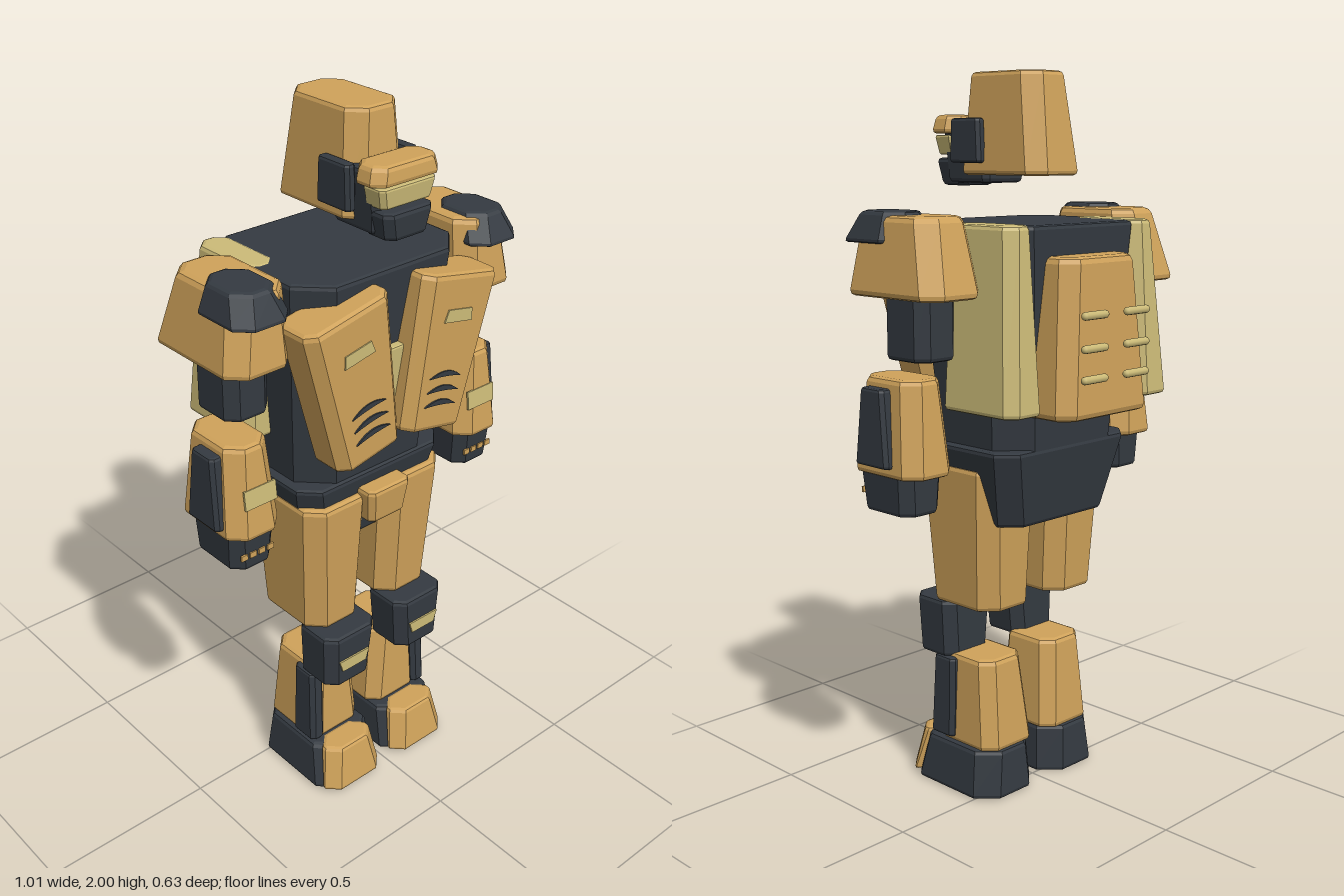
import * as THREE from 'three';

const tan = new THREE.MeshStandardMaterial({ color: 0xcfa25a });
tan.name = 'tan armour';
const dark = new THREE.MeshStandardMaterial({ color: 0x343a41 });
dark.name = 'charcoal';
const pale = new THREE.MeshStandardMaterial({ color: 0xccbb78 });
pale.name = 'pale gold';

// Tapered block with cut corners (c) and softened rims (b).
// lo and hi are [xMin, xMax, zMin, zMax] at heights y0 and y1.
function block(name, mat, lo, y0, hi, y1, c = 0.03, b = 0.012) {
  const steps = [[0, b], [0.3 * b, 0.3 * b], [b, 0]];
  const levels = [
    ...steps.map(([h, inset]) => [h / (y1 - y0), inset]),
    ...steps.slice().reverse().map(([h, inset]) => [1 - h / (y1 - y0), inset]),
  ];
  const rings = levels.map(([t, inset]) => {
    const [xa, xb, za, zb] = lo.map((v, i) => v + (hi[i] - v) * t + (i % 2 ? -inset : inset));
    const y = y0 + (y1 - y0) * t;
    const k = Math.max(c - inset * 0.5, 0.003);
    return [
      [xa + k, za], [xa, za + k], [xa, zb - k], [xa + k, zb],
      [xb - k, zb], [xb, zb - k], [xb, za + k], [xb - k, za],
    ].map(([x, z]) => [x, y, z]);
  });
  const pos = [];
  const tri = (p, q, r) => pos.push(...p, ...q, ...r);
  for (let i = 0; i < rings.length - 1; i++) {
    for (let j = 0; j < 8; j++) {
      const n = (j + 1) % 8;
      tri(rings[i][j], rings[i][n], rings[i + 1][n]);
      tri(rings[i][j], rings[i + 1][n], rings[i + 1][j]);
    }
  }
  const top = rings[rings.length - 1];
  for (let j = 1; j < 7; j++) {
    tri(top[0], top[j], top[j + 1]);
    tri(rings[0][0], rings[0][j + 1], rings[0][j]);
  }
  const geo = new THREE.BufferGeometry();
  geo.setAttribute('position', new THREE.Float32BufferAttribute(pos, 3));
  geo.computeVertexNormals();
  const mesh = new THREE.Mesh(geo, mat);
  mesh.name = name;
  return mesh;
}

// Thin front-facing plate cut from a shape.
function plate(name, mat, shape, x, y, z) {
  const geo = new THREE.ExtrudeGeometry(shape, { depth: 0.006, bevelEnabled: false });
  const mesh = new THREE.Mesh(geo, mat);
  mesh.name = name;
  mesh.position.set(x, y, z);
  return mesh;
}

function trapezoid(bottom, top, height) {
  const h = height / 2;
  return new THREE.Shape([[-bottom / 2, -h], [bottom / 2, -h], [top / 2, h], [-top / 2, h]]
    .map(([x, y]) => new THREE.Vector2(x, y)));
}

function crescent(width) {
  const w = width / 2;
  const s = new THREE.Shape();
  s.moveTo(-w, -0.007);
  s.quadraticCurveTo(0, 0.0, w, -0.007);
  s.quadraticCurveTo(0, 0.03, -w, -0.007);
  return s;
}

function createHead() {
  const g = new THREE.Group();
  g.name = 'head';
  g.add(
    block('helmet', tan, [-0.1, 0.1, -0.113, 0.207], 1.73, [-0.08, 0.08, -0.075, 0.19], 2.0, 0.042),
    block('face', dark, [-0.075, 0.075, 0.1, 0.258], 1.708, [-0.088, 0.088, 0.1, 0.268], 1.87, 0.015),
    block('jaw', dark, [-0.065, 0.065, 0.2, 0.3], 1.7, [-0.082, 0.082, 0.2, 0.307], 1.775, 0.02),
    block('visor', pale, [-0.08, 0.08, 0.22, 0.29], 1.783, [-0.092, 0.092, 0.22, 0.296], 1.836, 0.012, 0.006),
    block('brow', tan, [-0.113, 0.113, 0.198, 0.302], 1.84, [-0.1, 0.1, 0.198, 0.295], 1.89, 0.028),
  );
  for (const s of [-1, 1]) {
    const xs = s > 0 ? [0.085, 0.117] : [-0.117, -0.085];
    g.add(block('earGuard', dark, [...xs, 0.085, 0.205], 1.762, [...xs, 0.09, 0.2], 1.88, 0.009, 0.008));
  }
  return g;
}

function createBody() {
  const g = new THREE.Group();
  g.name = 'body';
  g.add(
    block('torso', dark, [-0.225, 0.225, -0.15, 0.2], 1.0, [-0.27, 0.27, -0.19, 0.25], 1.61, 0.08),
    block('pelvis', dark, [-0.2, 0.2, -0.115, 0.17], 0.8, [-0.255, 0.255, -0.155, 0.215], 1.02, 0.05),
    block('buckle', tan, [-0.063, 0.063, 0.17, 0.25], 0.875, [-0.075, 0.075, 0.17, 0.262], 0.98, 0.015),
    block('chestCore', pale, [-0.03, 0.03, 0.17, 0.245], 1.2, [-0.045, 0.045, 0.17, 0.255], 1.39, 0.01, 0.006),
    block('backpack', tan, [-0.175, 0.175, -0.29, -0.1], 1.11, [-0.14, 0.14, -0.268, -0.1], 1.53, 0.04, 0.018),
  );
  // Vent bars on the back
  for (const s of [-1, 1]) {
    for (const y of [1.22, 1.3, 1.385]) {
      const bar = new THREE.Mesh(new THREE.CapsuleGeometry(0.011, 0.075, 4, 10), pale);
      bar.name = 'ventBar';
      bar.rotation.z = Math.PI / 2;
      bar.position.set(s * 0.082, y, -0.302);
      g.add(bar);
    }
  }
  return g;
}

// Everything that exists on both sides; s = 1 is the model's left.
function createSide(s) {
  const g = new THREE.Group();
  g.name = s > 0 ? 'leftSide' : 'rightSide';
  const m = ([a, b, c, d]) => (s > 0 ? [a, b, c, d] : [-b, -a, c, d]);
  const add = (name, mat, lo, y0, hi, y1, c, b) => g.add(block(name, mat, m(lo), y0, m(hi), y1, c, b));

  // Back pods
  add('backPod', pale, [0.185, 0.318, -0.235, 0.04], 1.13, [0.19, 0.283, -0.2, 0.04], 1.612, 0.03);

  // Tilted chest plate with badge and slits
  const chest = new THREE.Group();
  chest.name = 'chestPlate';
  chest.position.set(s * 0.15, 1.345, 0);
  chest.rotation.z = -s * 0.2;
  chest.add(block('chestArmour', tan, [-0.106, 0.106, 0.17, 0.306], -0.218, [-0.137, 0.137, 0.17, 0.312], 0.218, 0.028, 0.015));
  chest.add(plate('chestBadge', pale, trapezoid(0.1, 0.085, 0.034), 0, 0.106, 0.308));
  for (const y of [-0.138, -0.098, -0.058]) {
    chest.add(plate('chestSlit', dark, crescent(0.115), -s * 0.004, y, 0.306));
  }
  g.add(chest);

  // Arm
  add('pauldron', tan, [0.283, 0.487, -0.133, 0.228], 1.43, [0.287, 0.452, -0.075, 0.205], 1.635, 0.045, 0.016);
  add('shoulderCap', dark, [0.303, 0.477, 0.038, 0.252], 1.565, [0.325, 0.45, 0.045, 0.21], 1.645, 0.04, 0.01);
  add('upperArm', dark, [0.293, 0.43, -0.03, 0.133], 1.265, [0.293, 0.43, -0.03, 0.133], 1.5, 0.03);
  add('forearm', tan, [0.32, 0.488, -0.05, 0.21], 0.968, [0.337, 0.467, -0.025, 0.182], 1.225, 0.04, 0.014);
  add('forearmGuard', dark, [0.465, 0.506, 0.028, 0.158], 0.995, [0.455, 0.5, 0.05, 0.138], 1.2, 0.01, 0.008);
  add('hand', dark, [0.337, 0.468, -0.005, 0.182], 0.863, [0.33, 0.476, -0.01, 0.193], 0.985, 0.03);
  const badge = plate('forearmBadge', pale, trapezoid(0.1, 0.1, 0.054), s * 0.396, 1.086, 0.194);
  badge.rotation.x = -0.11;
  g.add(badge);
  for (let i = 0; i < 4; i++) {
    g.add(plate('knuckle', tan, trapezoid(0.02, 0.02, 0.016), s * (0.362 + i * 0.028), 0.912, 0.185));
  }

  // Leg
  add('thigh', tan, [0.035, 0.223, -0.05, 0.202], 0.553, [0.028, 0.245, -0.073, 0.225], 0.96, 0.045, 0.014);
  add('knee', dark, [0.055, 0.215, 0.11, 0.26], 0.385, [0.038, 0.222, 0.11, 0.266], 0.555, 0.03);
  g.add(plate('kneeBadge', pale, trapezoid(0.085, 0.108, 0.036), s * 0.134, 0.459, 0.262));
  add('shin', tan, [0.02, 0.213, -0.042, 0.18], 0.14, [0.045, 0.2, -0.018, 0.17], 0.402, 0.035, 0.014);
  add('shinGuard', dark, [0.178, 0.226, 0.1, 0.193], 0.155, [0.172, 0.22, 0.1, 0.182], 0.39, 0.012, 0.008);
  add('foot', dark, [0.015, 0.242, -0.057, 0.277], 0.005, [0.025, 0.225, -0.048, 0.245], 0.145, 0.055);
  add('toeCap', tan, [0.024, 0.234, 0.215, 0.29], 0.015, [0.045, 0.21, 0.18, 0.265], 0.148, 0.035, 0.01);
  return g;
}

export function createModel() {
  const model = new THREE.Group();
  model.name = 'armouredRobot';
  model.add(createHead(), createBody(), createSide(1), createSide(-1));
  return model;
}
